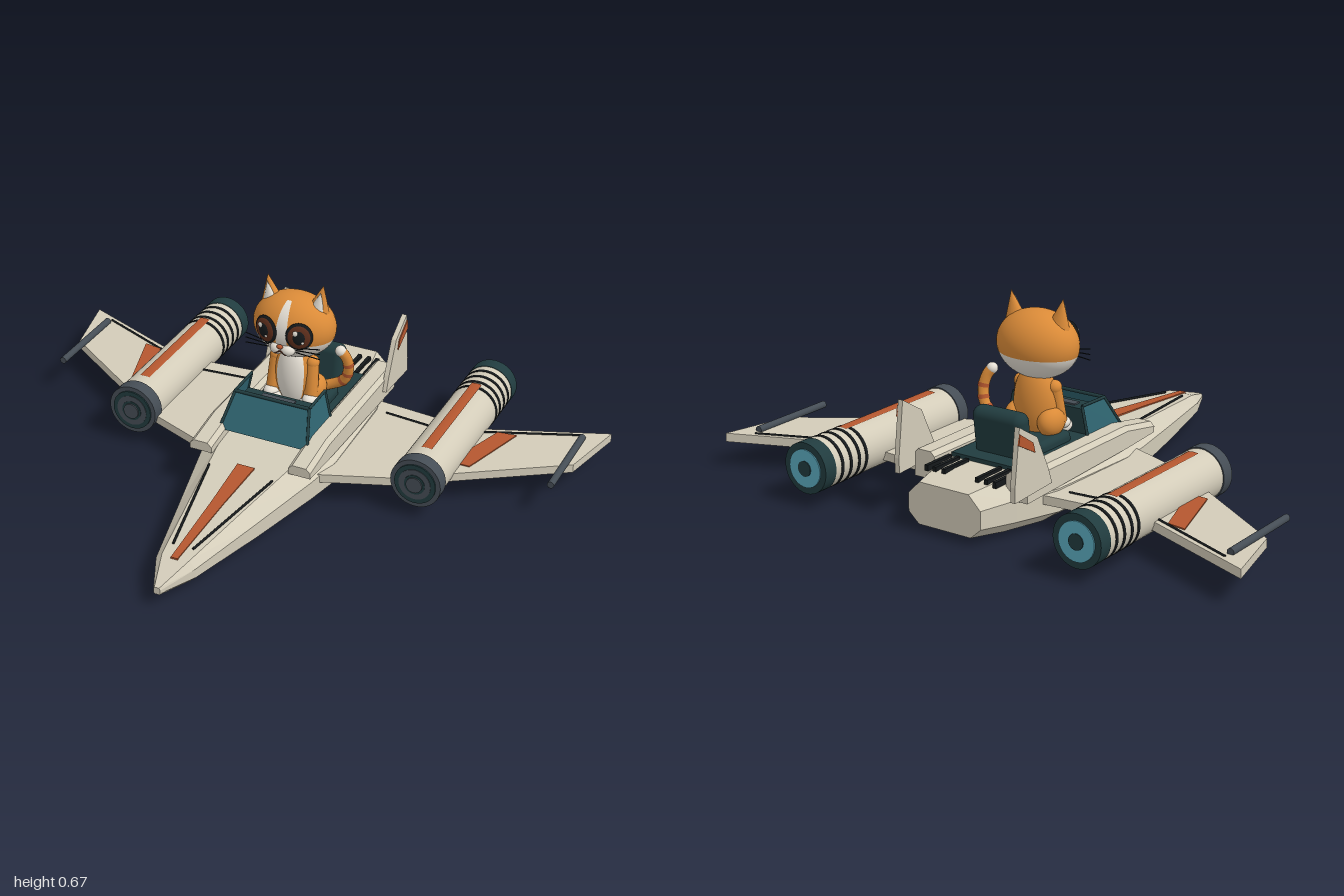
import * as THREE from 'three';
import { RoundedBoxGeometry } from 'three/addons/geometries/RoundedBoxGeometry.js';

export function createModel() {
  const root = new THREE.Group();
  const mat = (name, color, o = {}) => {
    const m = new THREE.MeshStandardMaterial({ color, ...o });
    m.name = name;
    return m;
  };
  const hull = mat('hullCream', 0xd3ccb9);
  const rust = mat('rustStripe', 0xb5572f);
  const teal = mat('darkTeal', 0x213c3f);
  const glass = mat('tealGlass', 0x2f6470, { side: THREE.DoubleSide });
  const slate = mat('slateMetal', 0x454d55);
  const cyan = mat('engineGlow', 0x5cabc0);
  const black = mat('blackTrim', 0x15191b);
  const fur = mat('orangeFur', 0xdb8b38);
  const white = mat('whiteFur', 0xe6e0d5);
  const brown = mat('eyeBrown', 0x5f2f1c);

  const add = (name, geo, m, x = 0, y = 0, z = 0, parent = root) => {
    const mesh = new THREE.Mesh(geo, m);
    mesh.name = name;
    mesh.position.set(x, y, z);
    parent.add(mesh);
    return mesh;
  };
  const V = (x, y, z) => new THREE.Vector3(x, y, z);
  const box = (w, h, d) => new THREE.BoxGeometry(w, h, d);
  const ball = (rx, ry, rz) => new THREE.SphereGeometry(1, 28, 20).scale(rx, ry, rz);
  const cylZ = (r, len, r2 = r) => new THREE.CylinderGeometry(r, r2, len, 36).rotateX(Math.PI / 2);
  const rod = (name, a, b, r, m, parent = root) => {
    const d = b.clone().sub(a), c = a.clone().add(b).multiplyScalar(0.5);
    const mesh = add(name, new THREE.CylinderGeometry(r, r, d.length(), 12), m, c.x, c.y, c.z, parent);
    mesh.quaternion.setFromUnitVectors(V(0, 1, 0), d.normalize());
    return mesh;
  };
  // Faceted skin through rings of corners, ordered front to back
  const loft = (rings) => {
    const n = rings[0].length, idx = [];
    for (let i = 0; i < rings.length - 1; i++) {
      for (let j = 0; j < n; j++) {
        const a = i * n + j, b = i * n + (j + 1) % n;
        idx.push(a, a + n, b, b, a + n, b + n);
      }
    }
    const e = (rings.length - 1) * n;
    for (let j = 1; j < n - 1; j++) idx.push(0, j, j + 1, e, e + j + 1, e + j);
    const g = new THREE.BufferGeometry();
    g.setAttribute('position', new THREE.Float32BufferAttribute(rings.flat(2), 3));
    g.setIndex(idx);
    const flat = g.toNonIndexed();
    flat.computeVertexNormals();
    return flat;
  };
  const shape = (pts) => new THREE.Shape(pts.map(([x, y]) => new THREE.Vector2(x, y)));
  const extrude = (pts, depth) => new THREE.ExtrudeGeometry(shape(pts), { depth, bevelEnabled: false });
  // Flat plate from [x, z] corners, mirrored by s
  const plate = (pts, h, s = 1) => extrude(pts.map(([x, z]) => [x * s, -z]), h).rotateX(-Math.PI / 2);
  // Upright plate from [z, y] corners
  const upright = (pts, w) => extrude(pts, w).rotateY(-Math.PI / 2).translate(w / 2, 0, 0);

  // Fuselage: z, half width, bottom, top
  const sections = [
    [0.765, 0.012, 0.045, 0.07], [0.64, 0.07, 0.03, 0.105], [0.35, 0.14, 0.01, 0.132], [0.08, 0.205, 0.004, 0.155],
    [-0.05, 0.232, 0.002, 0.17], [-0.42, 0.222, 0, 0.178], [-0.58, 0.18, 0.01, 0.178], [-0.71, 0.14, 0.025, 0.165],
  ];
  add('fuselage', loft(sections.map(([z, w, b, t]) => {
    const lo = b + (t - b) * 0.25, hi = b + (t - b) * 0.68;
    return [[w, lo, z], [w, hi, z], [w * 0.68, t, z], [-w * 0.68, t, z],
      [-w, hi, z], [-w, lo, z], [-w * 0.72, b, z], [w * 0.72, b, z]];
  })), hull);

  // Nose stripe and panel lines following the sloping nose
  const strip = [[0.65, 0.012, 0.108], [0.35, 0.021, 0.136], [0.15, 0.031, 0.155]];
  add('noseStripe', loft(strip.map(([z, w, y]) =>
    [[w, y - 0.008, z], [w, y, z], [-w, y, z], [-w, y - 0.008, z]])), rust);

  for (const s of [1, -1]) {
    rod('nosePanelLine', V(s * 0.035, 0.114, 0.59), V(s * 0.115, 0.152, 0.19), 0.004, black);

    // Cockpit side rail
    add('sideRail', loft([[0.125, 0.15, 0.185], [-0.03, 0.14, 0.212], [-0.58, 0.12, 0.212]].map(([z, b, t]) =>
      [[0.22, b], [0.22, t - 0.015], [0.205, t], [0.155, t], [0.14, t - 0.015], [0.14, b]]
        .map(([x, y]) => [x + (s < 0 ? -0.36 : 0), y, z]))), hull);

    // Wing with painted band and panel lines
    add('wing', plate([[0.15, 0.06], [0.22, 0.035], [0.44, -0.05], [0.62, -0.17], [0.945, -0.385],
      [1, -0.625], [0.6, -0.465], [0.44, -0.46], [0.15, -0.485]], 0.03, s), hull, 0, 0.085);
    add('wingBand', plate([[0.65, -0.46], [0.715, -0.47], [0.64, -0.22], [0.57, -0.22]], 0.005, s), rust, 0, 0.114);
    rod('wingPanelLine', V(s * 0.915, 0.116, -0.572), V(s * 0.6, 0.116, -0.442), 0.004, black);
    rod('wingPanelLine', V(s * 0.26, 0.116, -0.415), V(s * 0.45, 0.116, -0.398), 0.004, black);
    add('wingtipCannon', cylZ(0.012, 0.325), slate, s * 0.92, 0.122, -0.388);

    // Tail fin with stripe on its outer face
    add('tailFin', upright([[-0.47, 0.16], [-0.49, 0.215], [-0.545, 0.33], [-0.635, 0.385], [-0.66, 0.2], [-0.66, 0.15]], 0.018),
      hull, s * 0.225, 0, 0);
    add('finStripe', upright([[-0.56, 0.285], [-0.57, 0.32], [-0.637, 0.365], [-0.643, 0.33]], 0.005), rust, s * 0.235, 0, 0);

    // Engine pod
    const pod = new THREE.Group();
    pod.name = 'enginePod';
    pod.position.set(s * 0.525, 0.13, 0);
    root.add(pod);
    const part = (name, geo, m, z) => add(name, geo, m, 0, 0, z, pod);
    part('podBody', cylZ(0.084, 0.63), hull, -0.39);
    part('intakeRing', cylZ(0.088, 0.048), slate, -0.054);
    part('intakeFace', cylZ(0.072, 0.006), teal, -0.028);
    part('intakeDisc', cylZ(0.056, 0.006), slate, -0.026);
    part('intakeRecess', cylZ(0.036, 0.006), teal, -0.024);
    part('intakeHub', cylZ(0.028, 0.012), slate, -0.022);
    part('exhaustRing', cylZ(0.086, 0.05), teal, -0.728);
    part('exhaustGlow', cylZ(0.064, 0.01), cyan, -0.752);
    part('exhaustHub', cylZ(0.026, 0.014), teal, -0.753);
    for (const z of [-0.555, -0.59, -0.63, -0.67]) part('podBand', cylZ(0.086, 0.012), black, z);
    const arc = new THREE.CylinderGeometry(0.087, 0.087, 0.455, 8, 1, true, Math.PI - 0.21, 0.42);
    part('podStripe', arc.rotateX(Math.PI / 2), rust, -0.348);

    // Rear deck vents
    for (const x of [0.065, 0.1, 0.132]) add('deckVent', box(0.013, 0.02, 0.12), black, s * x, 0.178, -0.57);
  }

  // Cockpit tub, dashboard and seat
  add('cockpitTub', box(0.27, 0.09, 0.47), teal, 0, 0.147, -0.265);
  add('dashboard', box(0.25, 0.1, 0.075), teal, 0, 0.225, -0.085);
  add('dashButtons', box(0.12, 0.006, 0.03), slate, 0, 0.277, -0.09);
  add('seatCushion', new RoundedBoxGeometry(0.22, 0.05, 0.17, 3, 0.02), teal, 0, 0.2, -0.27);
  add('seatBack', new RoundedBoxGeometry(0.2, 0.18, 0.065, 4, 0.03), teal, 0, 0.25, -0.412).rotation.x = -0.12;

  // Windshield
  const q = (s) => [V(s * 0.162, 0.185, 0.025), V(s * 0.136, 0.302, -0.045), V(s * 0.136, 0.305, -0.17), V(s * 0.162, 0.185, -0.17)];
  const [L, R] = [q(1), q(-1)];
  const pane = (a, b, c, d) => {
    const g = new THREE.BufferGeometry().setFromPoints([a, b, c, a, c, d]);
    g.computeVertexNormals();
    return g;
  };
  add('windshieldFront', pane(R[0], L[0], L[1], R[1]), glass);
  add('windshieldLeft', pane(L[0], L[3], L[2], L[1]), glass);
  add('windshieldRight', pane(R[0], R[1], R[2], R[3]), glass);
  rod('windshieldRim', L[1], R[1], 0.006, teal);
  for (const c of [L, R]) for (let i = 0; i < 3; i++) rod('windshieldRim', c[i], c[i + 1], 0.005, teal);

  // Cat pilot
  const cat = new THREE.Group();
  cat.name = 'catPilot';
  root.add(cat);
  const c = (name, geo, m, x, y, z) => add(name, geo, m, x, y, z, cat);
  c('torso', ball(0.08, 0.13, 0.058), fur, 0, 0.31, -0.232);
  c('chest', ball(0.056, 0.115, 0.04), white, 0, 0.315, -0.205);
  const headPart = (name, m, k, ...angles) =>
    c(name, new THREE.SphereGeometry(1, 40, 28, ...angles).scale(0.145 * k, 0.113 * k, 0.108 * k), m, 0, 0.505, -0.22);
  headPart('headTop', fur, 1, 0, Math.PI * 2, 0, 1.83);
  headPart('jaw', white, 1, 0, Math.PI * 2, 1.83, Math.PI - 1.83);
  headPart('blaze', white, 1.008, Math.PI / 2 - 0.14, 0.28, 0.4, 1.45);
  c('nose', ball(0.011, 0.008, 0.008), rust, 0, 0.473, -0.103);
  for (const s of [1, -1]) {
    c('muzzle', ball(0.026, 0.021, 0.022), white, s * 0.019, 0.455, -0.125);
    rod('mouth', V(0, 0.457, -0.105), V(s * 0.02, 0.443, -0.107), 0.0025, brown, cat);
    for (const [y0, y1] of [[0.47, 0.484], [0.462, 0.466], [0.454, 0.447]])
      rod('whisker', V(s * 0.05, y0, -0.122), V(s * 0.135, y1, -0.125), 0.0018, black, cat);

    // Layered eye turned to follow the face
    const eye = new THREE.Group();
    eye.name = 'eye';
    eye.position.set(s * 0.06, 0.515, -0.125);
    eye.rotation.y = s * 0.32;
    cat.add(eye);
    add('eyeRim', ball(0.046, 0.05, 0.012), black, 0, 0, 0, eye);
    add('iris', ball(0.04, 0.044, 0.012), brown, 0, 0, 0.003, eye);
    add('pupil', ball(0.024, 0.029, 0.01), black, 0, 0, 0.008, eye);
    add('eyeGlint', ball(0.009, 0.01, 0.004), white, -0.012, 0.018, 0.016, eye);
    add('eyeGlint', ball(0.005, 0.005, 0.003), white, 0.013, -0.016, 0.015, eye);

    // Ear with pale inside
    const ear = new THREE.Group();
    ear.name = 'ear';
    ear.position.set(s * 0.092, 0.615, -0.223);
    ear.rotation.z = -s * 0.18;
    cat.add(ear);
    add('earOuter', new THREE.ConeGeometry(0.042, 0.105, 24).scale(1, 1, 0.7), fur, 0, 0, 0, ear);
    add('earInner', new THREE.ConeGeometry(0.029, 0.08, 20).scale(1, 1, 0.6), white, 0, -0.008, 0.014, ear);

    // Limbs
    rod('arm', V(s * 0.066, 0.37, -0.222), V(s * 0.072, 0.25, -0.2), 0.023, fur, cat);
    c('shoulder', ball(0.024, 0.024, 0.024), fur, s * 0.066, 0.37, -0.222);
    c('paw', ball(0.026, 0.02, 0.03), white, s * 0.072, 0.245, -0.19);
    c('haunch', ball(0.04, 0.05, 0.055), fur, s * 0.065, 0.26, -0.24);
    c('foot', ball(0.028, 0.022, 0.045), white, s * 0.06, 0.225, -0.175);
  }

  // Curled tail with rings and pale tip
  const tail = new THREE.CatmullRomCurve3([V(0.02, 0.235, -0.27), V(0.09, 0.25, -0.295), V(0.15, 0.285, -0.297),
    V(0.168, 0.34, -0.29), V(0.16, 0.385, -0.28), V(0.146, 0.408, -0.27)]);
  c('tail', new THREE.TubeGeometry(tail, 40, 0.018, 14), fur, 0, 0, 0);
  for (const t of [0.5, 0.64, 0.78]) {
    const span = new THREE.CatmullRomCurve3([-0.025, 0, 0.025].map((d) => tail.getPointAt(t + d)));
    c('tailRing', new THREE.TubeGeometry(span, 6, 0.0195, 14), rust, 0, 0, 0);
  }
  c('tailTip', ball(0.019, 0.019, 0.019), white, 0.146, 0.408, -0.27);
  return root;
}
